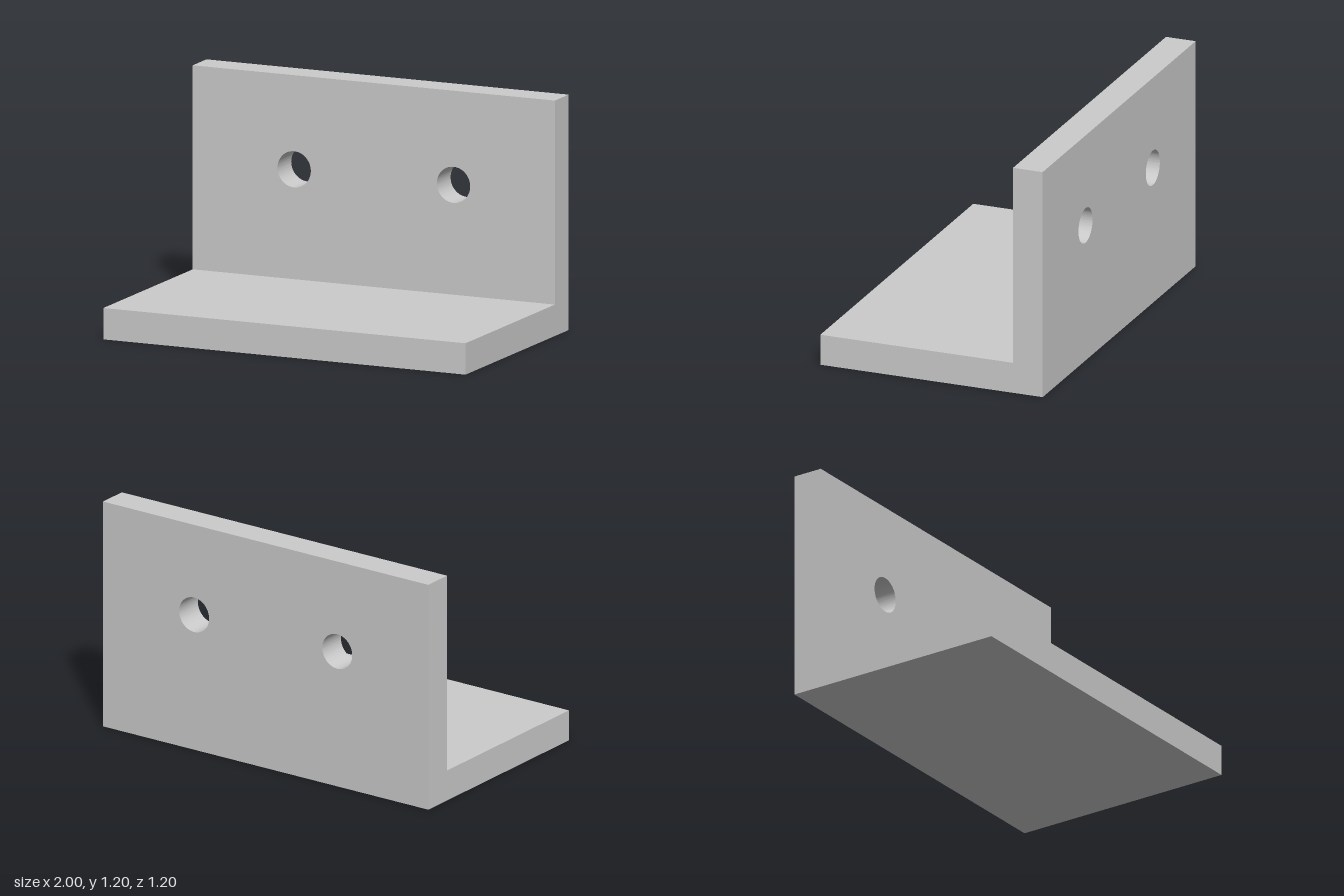
import * as THREE from 'three';
import { toCreasedNormals } from 'three/addons/utils/BufferGeometryUtils.js';

const WIDTH = 2, HEIGHT = 1.2, DEPTH = 1.2, THICK = 0.16;
const HOLE_X = 0.44, HOLE_Y = 0.72, HOLE_R = 0.092;

export function createModel() {
  const group = new THREE.Group();
  group.name = 'angleBracket';
  const material = new THREE.MeshStandardMaterial({ color: 0xcccccc });

  // Upright plate with two round through-holes
  const outline = new THREE.Shape([
    new THREE.Vector2(-WIDTH / 2, 0),
    new THREE.Vector2(WIDTH / 2, 0),
    new THREE.Vector2(WIDTH / 2, HEIGHT),
    new THREE.Vector2(-WIDTH / 2, HEIGHT),
  ]);
  for (const side of [-1, 1]) {
    outline.holes.push(new THREE.Path().absarc(side * HOLE_X, HOLE_Y, HOLE_R, 0, Math.PI * 2, true));
  }
  const plate = new THREE.ExtrudeGeometry(outline, { depth: THICK, bevelEnabled: false, curveSegments: 48 });
  const upright = new THREE.Mesh(toCreasedNormals(plate, Math.PI / 6), material);
  upright.name = 'uprightPlate';
  upright.position.z = -DEPTH / 2;
  group.add(upright);

  // Base plate, butting against the front of the upright
  const base = new THREE.Mesh(new THREE.BoxGeometry(WIDTH, THICK, DEPTH - THICK), material);
  base.name = 'basePlate';
  base.position.set(0, THICK / 2, THICK / 2);
  group.add(base);

  return group;
}
